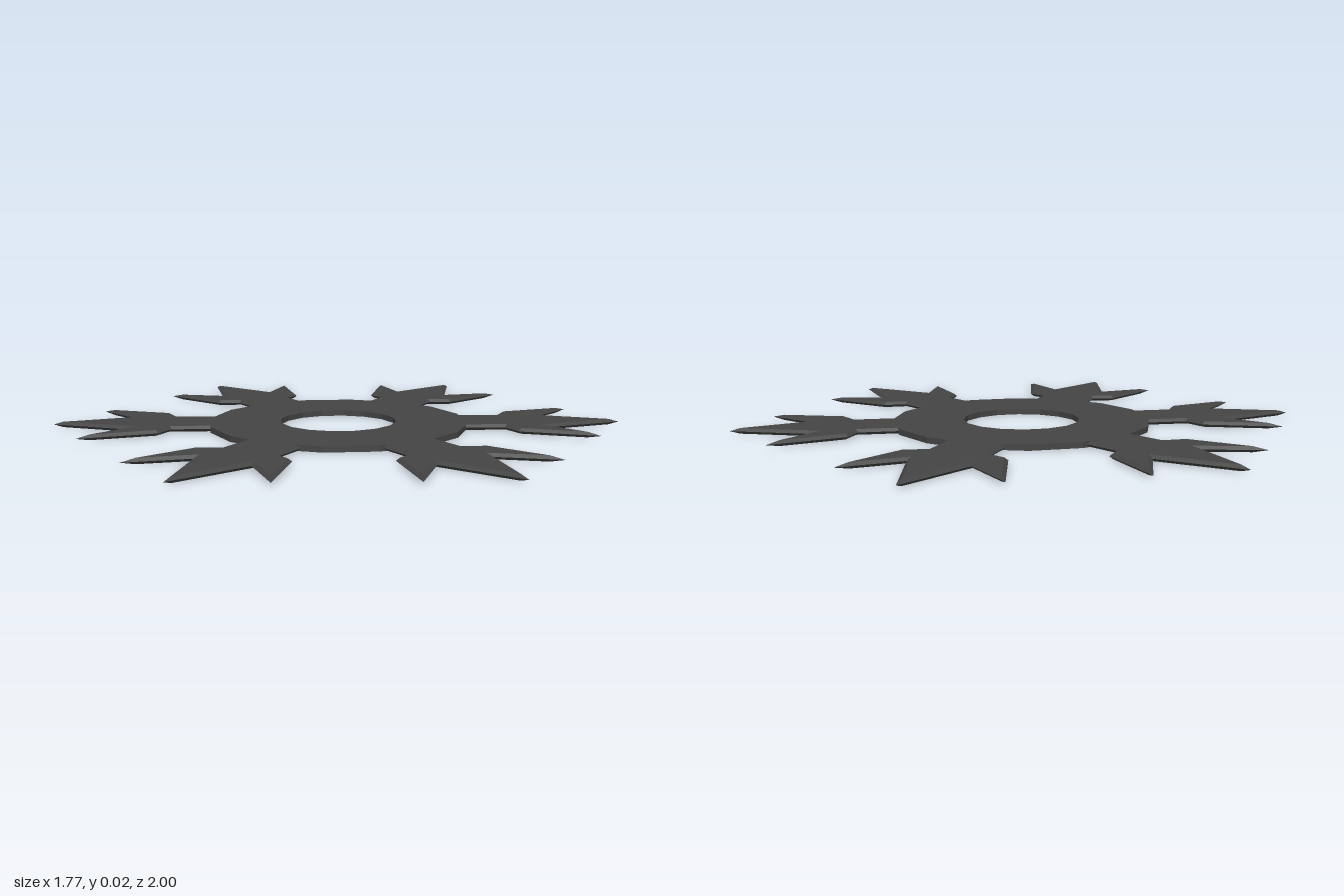
import * as THREE from 'three';

const THICK = 0.02;
const BEVEL = 0.012;

// Moves each corner of a counter-clockwise outline inwards by d, mitred
function inset(points, d) {
  const n = points.length;
  return points.map((p, i) => {
    const a = p.clone().sub(points[(i + n - 1) % n]).normalize();
    const b = points[(i + 1) % n].clone().sub(p).normalize();
    const na = new THREE.Vector2(-a.y, a.x);
    const nb = new THREE.Vector2(-b.y, b.x);
    return p.clone().addScaledVector(na.clone().add(nb), d / (1 + na.dot(nb)));
  });
}

// Flat plate whose faces slope to a sharp edge at mid height; outline (x, y) maps to (x, -z)
function sharpPlate(outline, thick, bevel) {
  const inner = inset(outline, bevel);
  const pos = [];
  const add = (p, h) => pos.push(p.x, h, -p.y);
  for (const [a, b, c] of THREE.ShapeUtils.triangulateShape(inner, [])) {
    for (const k of [a, b, c]) add(inner[k], thick / 2);
    for (const k of [a, c, b]) add(inner[k], -thick / 2);
  }
  outline.forEach((p, i) => {
    const j = (i + 1) % outline.length;
    const q = outline[j], h = thick / 2;
    add(p, 0); add(q, 0); add(inner[j], h);
    add(p, 0); add(inner[j], h); add(inner[i], h);
    add(q, 0); add(p, 0); add(inner[i], -h);
    add(q, 0); add(inner[i], -h); add(inner[j], -h);
  });
  const geo = new THREE.BufferGeometry();
  geo.setAttribute('position', new THREE.Float32BufferAttribute(pos, 3));
  geo.computeVertexNormals();
  return geo;
}

function polygon(radius, sides) {
  return Array.from({ length: sides }, (_, i) => {
    const a = (i / sides) * Math.PI * 2;
    return new THREE.Vector2(Math.cos(a) * radius, Math.sin(a) * radius);
  });
}

export function createModel() {
  const group = new THREE.Group();
  group.name = 'throwingStar';
  const metal = new THREE.MeshStandardMaterial({ color: 0x444444, flatShading: true });

  // Sixteen-sided hub with a hole
  const ring = new THREE.Shape(polygon(0.455, 16));
  ring.holes.push(new THREE.Path(polygon(0.205, 16)));
  const hubGeo = new THREE.ExtrudeGeometry(ring, { depth: THICK, bevelEnabled: false });
  hubGeo.rotateX(-Math.PI / 2);
  const hub = new THREE.Mesh(hubGeo, metal);
  hub.name = 'hub';
  group.add(hub);

  // Three-pointed blades, half outline mirrored about the arm's centre line
  const half = [[0.103, 0.39], [0.103, 0.575], [0.175, 0.61], [0.262, 0.868], [0.103, 0.72]];
  const outline = [
    ...half.map(([x, y]) => new THREE.Vector2(x, y)),
    new THREE.Vector2(0, 1),
    ...half.slice().reverse().map(([x, y]) => new THREE.Vector2(-x, y)),
  ];
  const bladeGeo = sharpPlate(outline, THICK - 0.0005, BEVEL);
  for (let i = 0; i < 6; i++) {
    const blade = new THREE.Mesh(bladeGeo, metal);
    blade.name = 'blade' + (i + 1);
    blade.position.y = THICK / 2;
    blade.rotation.y = (i * Math.PI) / 3;
    group.add(blade);
  }
  return group;
}
